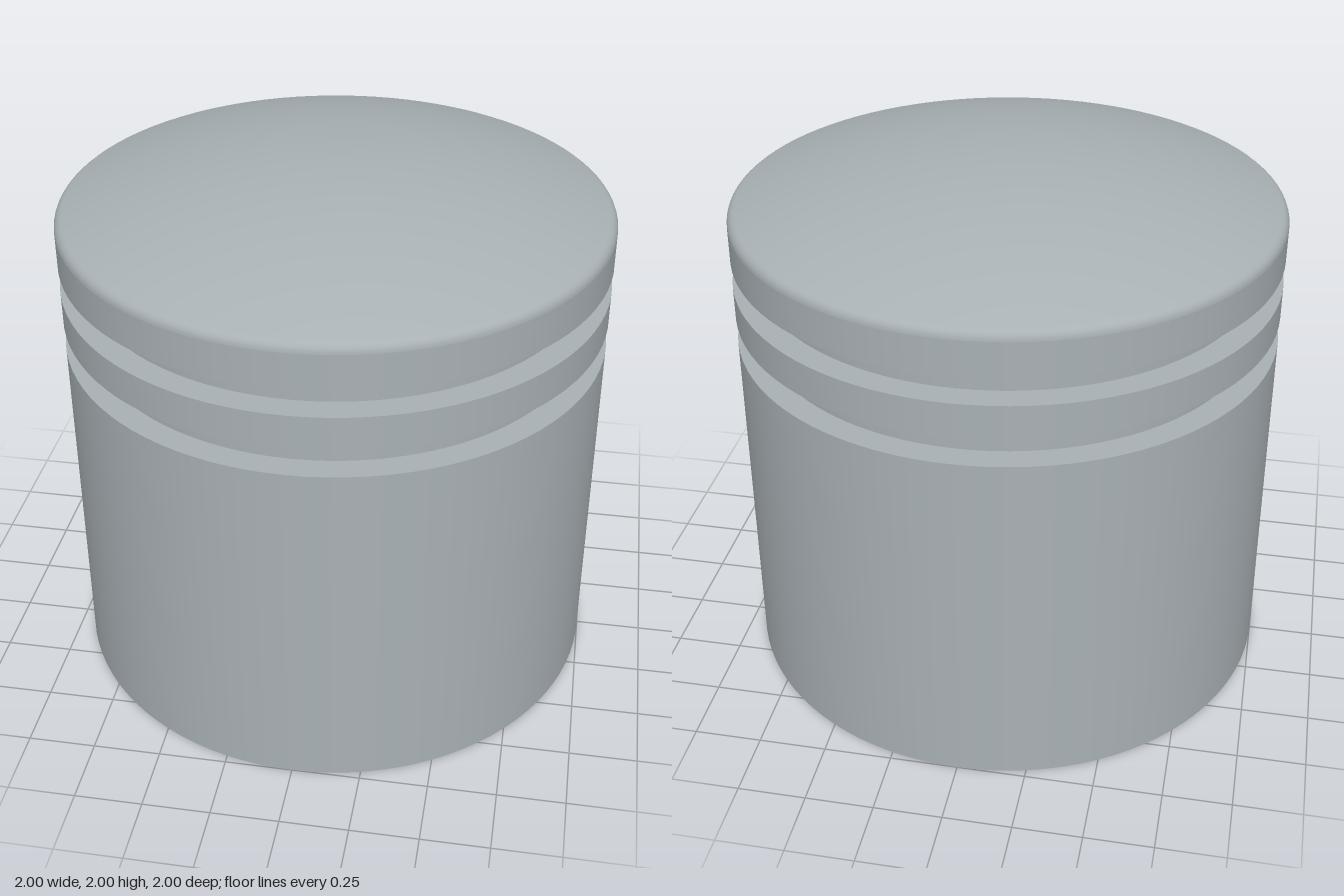
import * as THREE from 'three';

const SEGMENTS = 96;

export function createModel() {
  const model = new THREE.Group();
  model.name = 'piston';

  const metal = new THREE.MeshStandardMaterial({ color: 0xa9b1b5 });
  metal.name = 'grey metal';
  const red = new THREE.MeshStandardMaterial({ color: 0xbc7674 });
  red.name = 'dull red';

  // Revolves one smooth strip of [radius, height] points; separate strips keep sharp edges
  function strip(name, points, material = metal, parent = model) {
    const profile = points.map(([r, y]) => new THREE.Vector2(r, y));
    const mesh = new THREE.Mesh(new THREE.LatheGeometry(profile, SEGMENTS), material);
    mesh.name = name;
    parent.add(mesh);
  }

  const R = 1, grooveR = 0.907, boreR = 0.864;

  // Underside: red core inside a grey rim
  strip('bottomCore', [[0, 0], [boreR, 0]], red);
  strip('bottomRim', [[boreR, 0], [R, 0]]);

  // Skirt and lands
  strip('skirt', [[R, 0], [R, 1.33]]);
  strip('middleLand', [[R, 1.43], [R, 1.56]]);
  strip('topLand', [[R, 1.655], [R, 1.79]]);

  // Ring grooves: lower shelf, inner wall, upper shelf
  [['lowerGroove', 1.33, 1.43], ['upperGroove', 1.56, 1.655]].forEach(([name, y0, y1]) => {
    const groove = new THREE.Group();
    groove.name = name;
    model.add(groove);
    strip('shelf', [[R, y0], [grooveR, y0]], metal, groove);
    strip('wall', [[grooveR, y0], [grooveR, y1]], metal, groove);
    strip('ceiling', [[grooveR, y1], [R, y1]], metal, groove);
  });

  // Domed crown: rounded edge running into a shallow spherical cap
  const crown = [];
  const fillet = 0.04, domeR = 2.85, edgeAngle = Math.asin(0.974 / domeR);
  for (let i = 0; i <= 5; i++) {
    const a = (i / 5) * (Math.PI / 2 - edgeAngle);
    crown.push([R - fillet + fillet * Math.cos(a), 1.79 + fillet * Math.sin(a)]);
  }
  for (let i = 9; i >= 0; i--) {
    const a = (i / 10) * edgeAngle;
    crown.push([domeR * Math.sin(a), 2 - domeR * (1 - Math.cos(a))]);
  }
  strip('crown', crown);

  return model;
}
